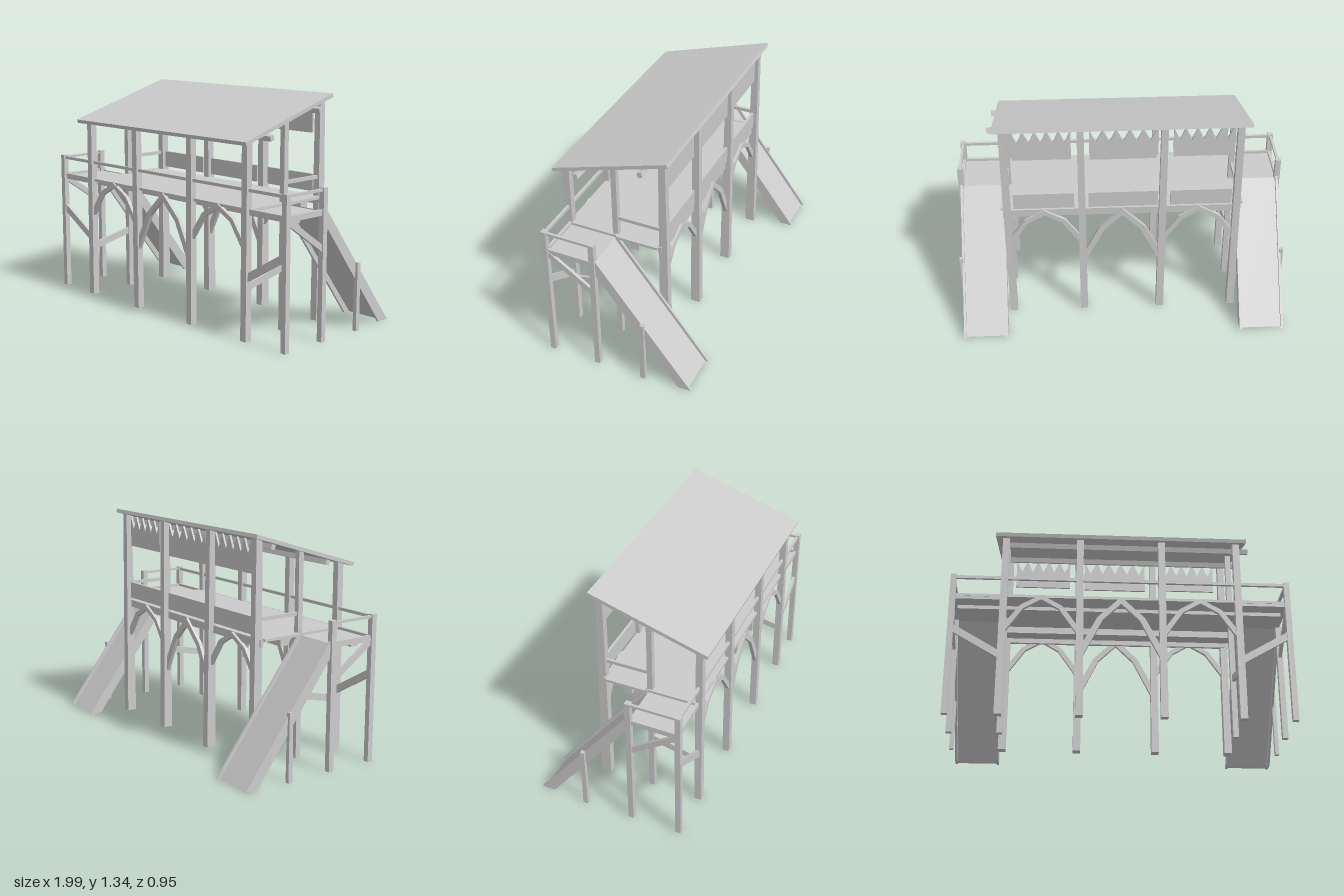
import * as THREE from 'three';

const mat = new THREE.MeshStandardMaterial({ color: 0xcccccc, flatShading: true, side: THREE.DoubleSide });
const V = (x, y, z) => new THREE.Vector3(x, y, z);

export function createModel() {
  const group = new THREE.Group();

  const add = (name, geo, x = 0, y = 0, z = 0) => {
    const m = new THREE.Mesh(geo, mat);
    m.name = name;
    m.position.set(x, y, z);
    group.add(m);
    return m;
  };

  // Box given by its extents
  const box = (name, x0, x1, y0, y1, z0, z1) =>
    add(name, new THREE.BoxGeometry(x1 - x0, y1 - y0, z1 - z0), (x0 + x1) / 2, (y0 + y1) / 2, (z0 + z1) / 2);

  // Straight timber between two points
  const beam = (name, a, b, w, d) => {
    const dir = b.clone().sub(a);
    const m = add(name, new THREE.BoxGeometry(w, dir.length(), d));
    m.position.copy(a).add(b).multiplyScalar(0.5);
    m.quaternion.setFromUnitVectors(V(0, 1, 0), dir.normalize());
    return m;
  };

  // Upright post whose foot may be shifted and thicker than its head
  const post = (name, x, z, h, w = 0.04, footW = w, footD = w, dx = 0, dz = 0) => {
    const geo = new THREE.BoxGeometry(1, h, 1);
    const p = geo.attributes.position;
    for (let i = 0; i < p.count; i++) {
      const foot = p.getY(i) < 0;
      p.setX(i, p.getX(i) * (foot ? footW : w) + (foot ? dx : 0));
      p.setZ(i, p.getZ(i) * (foot ? footD : w) + (foot ? dz : 0));
    }
    geo.computeVertexNormals();
    return add(name, geo, x, h / 2, z);
  };

  // Flat board cut from an outline in the xy plane
  const board = (name, pts, depth, z) => {
    const shape = new THREE.Shape(pts.map(([x, y]) => new THREE.Vector2(x, y)));
    const geo = new THREE.ExtrudeGeometry(shape, { depth, bevelEnabled: false });
    return add(name, geo, 0, 0, z - depth / 2);
  };

  const frontZ = 0.41, midZ = 0.115, backZ = -0.18;
  const roofUnder = z => 1.207 - (z - 0.123) * 0.307;

  // Sloping roof with two purlins
  const tilt = Math.atan(0.307);
  add('roof', new THREE.BoxGeometry(1.48, 0.022, 0.735), 0, 1.217, 0.123).rotation.x = tilt;
  for (const z of [0.31, -0.085]) {
    add('purlin', new THREE.BoxGeometry(1.475, 0.03, 0.028), 0.037, roofUnder(z) - 0.02, z).rotation.x = tilt;
  }

  // Main posts, slightly uneven like hewn timber
  const feet = [[-0.68, -0.003], [-0.243, 0.008], [0.24, 0], [0.685, -0.002]];
  for (const [x, dx] of feet) {
    post('frontPost', x, frontZ, roofUnder(frontZ) + 0.005, 0.04, 0.042, 0.042, dx, 0.002);
    post('backPost', x, backZ, roofUnder(backZ) + 0.005, 0.04, 0.045, 0.06, dx, -0.006);
  }

  // Decks and the beams carrying them
  box('mainDeck', -0.71, 0.71, 0.73, 0.745, -0.16, 0.41);
  box('frontDeckTrim', -0.985, 0.985, 0.73, 0.746, 0.395, 0.412);
  box('backDeckTrim', -0.71, 0.71, 0.7, 0.745, -0.175, -0.155);
  box('frontFloorBeam', -0.95, 0.95, 0.69, 0.712, 0.275, 0.327);
  box('middleFloorBeam', -0.72, 0.72, 0.69, 0.735, -0.04, 0.012);

  // Front railing and the back parapet panels
  box('frontRail', -0.985, 0.985, 0.842, 0.86, 0.402, 0.418);
  const bays = [[-0.65, -0.285], [-0.21, 0.2], [0.285, 0.645]];
  bays.forEach(([x0, x1], i) => {
    box('backPanel', x0, x1, 0.765, 0.866, backZ - 0.008, backZ + 0.008);

    // Hanging panel with a zigzag upper edge under the roof
    const bottom = i === 1 ? 1.097 : 1.105;
    const a = x0 + 0.01, b = x1 - 0.01, n = 5;
    const pts = [[a, bottom], [b, bottom]];
    for (let k = 2 * n; k >= 0; k--) pts.push([a + (b - a) * k / (2 * n), k % 2 ? 1.215 : 1.295]);
    board('zigzagPanel', pts, 0.012, backZ);
  });

  // Arched braces between posts, in the front and back rows
  const arches = [
    { c: 0, half: 0.23, outer: [[-1, 0.43], [-0.6, 0.61], [0, 0.745]], inner: [[-1, 0.345], [-0.47, 0.593], [0, 0.7]] },
    ...[-0.463, 0.463].map(c => ({
      c, half: 0.205, outer: [[-1, 0.56], [-0.6, 0.675], [0, 0.745]], inner: [[-1, 0.505], [-0.5, 0.655], [0, 0.715]],
    })),
  ];
  for (const { c, half, outer, inner } of arches) {
    const both = l => [...l, ...l.slice(0, -1).reverse().map(([u, y]) => [-u, y])];
    const pts = [...both(outer), ...both(inner).reverse()].map(([u, y]) => [c + u * half, y]);
    for (const z of [frontZ, backZ]) board('archBrace', pts, 0.022, z);
  }

  // Side platforms with slides, mirrored on both ends
  for (const s of [-1, 1]) {
    const outX = s * 0.975, inX = s * 0.685;
    const side = (name, xa, xb, ...r) => box(name, Math.min(s * xa, s * xb), Math.max(s * xa, s * xb), ...r);

    post('outerFrontPost', outX, frontZ, 0.866, 0.033);
    post('outerMiddlePost', outX, midZ, 0.866, 0.033);
    post('innerMiddlePost', inX, midZ, roofUnder(midZ) + 0.003, 0.033);
    post('slideSupport', s * 0.983, backZ, 0.4, 0.024, 0.024, 0.03);

    side('sideDeck', 0.69, 0.98, 0.712, 0.73, 0.11, 0.41);
    side('outerDeckTrim', 0.965, 0.982, 0.73, 0.746, midZ, frontZ);
    side('outerRail', 0.967, 0.983, 0.845, 0.86, midZ, frontZ);
    side('innerRail', 0.677, 0.693, 0.845, 0.866, backZ, midZ);
    side('innerDeckTrim', 0.695, 0.725, 0.732, 0.748, -0.155, 0.1);

    // Diagonal braces
    beam('frontBrace', V(s * 0.69, 0.36, frontZ), V(s * 0.97, 0.525, frontZ), 0.042, 0.018);
    beam('upperSideBrace', V(outX, 0.72, 0.405), V(outX, 0.522, midZ), 0.018, 0.034);
    beam('lowerSideBrace', V(inX, 0.308, 0.405), V(inX, 0.373, midZ), 0.018, 0.04);

    // Slide walls and bed: profiles given as [z, y]
    const strip = (name, pts, width, x) => {
      const shape = new THREE.Shape(pts.map(([z, y]) => new THREE.Vector2(-z, y)));
      const geo = new THREE.ExtrudeGeometry(shape, { depth: width, bevelEnabled: false });
      geo.translate(0, 0, -width / 2).rotateY(Math.PI / 2);
      add(name, geo, x, 0, 0);
    };
    const wall = [[0.105, 0.762], [0.105, 0.665], [-0.395, 0.005], [-0.475, 0.005]];
    const bed = [[0.11, 0.735], [0.11, 0.715], [-0.438, 0.005], [-0.455, 0.005]];
    for (const x of [0.717, 0.972]) strip('slideWall', wall, 0.014, s * x);
    strip('slideBed', bed, 0.25, s * 0.8445);
  }

  return group;
}
